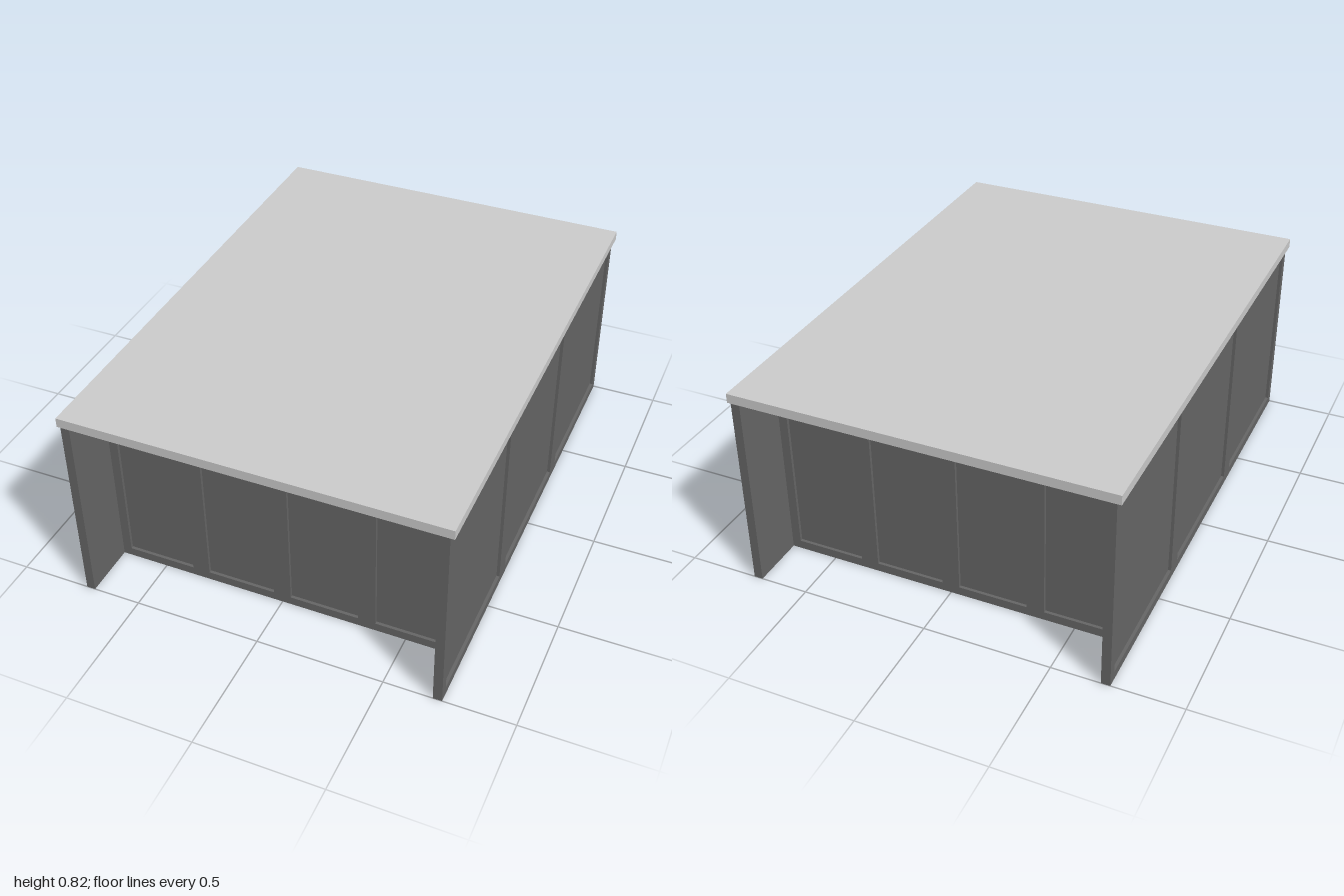
import * as THREE from 'three';

const darkMat = new THREE.MeshStandardMaterial({ color: 0x666666 });
const topMat = new THREE.MeshStandardMaterial({ color: 0xcccccc });

const HEIGHT = 0.78;   // underside of the worktop
const INNER = 0.69;    // half width between the side panels
const FLOOR = 0.1;     // height of the cabinet floors
const MARGIN = 0.035;  // frame width around each inset field
const RECESS = 0.012;

// box given by its limits on each axis
function box(parent, name, x0, x1, y0, y1, z0, z1, mat = darkMat) {
  const mesh = new THREE.Mesh(new THREE.BoxGeometry(x1 - x0, y1 - y0, z1 - z0), mat);
  mesh.position.set((x0 + x1) / 2, (y0 + y1) / 2, (z0 + z1) / 2);
  mesh.name = name;
  parent.add(mesh);
  return mesh;
}

function rect(path, x0, x1, y0, y1) {
  path.moveTo(x0, y0);
  path.lineTo(x1, y0);
  path.lineTo(x1, y1);
  path.lineTo(x0, y1);
  path.closePath();
  return path;
}

// framed wall facing +z with its front at z = 0, split into equal recessed fields
function framedWall(name, width, y0, y1, cells, thickness) {
  const wall = new THREE.Group();
  wall.name = name;
  const shape = rect(new THREE.Shape(), -width / 2, width / 2, y0, y1);
  const step = width / cells;
  for (let i = 0; i < cells; i++) {
    const x = -width / 2 + i * step;
    shape.holes.push(rect(new THREE.Path(), x + MARGIN, x + step - MARGIN, y0 + MARGIN, y1 - MARGIN));
  }
  const frame = new THREE.Mesh(
    new THREE.ExtrudeGeometry(shape, { depth: RECESS, bevelEnabled: false }), darkMat);
  frame.position.z = -RECESS;
  frame.name = 'frame';
  wall.add(frame);
  box(wall, 'insetFields', -width / 2, width / 2, y0, y1, -thickness, -RECESS);
  return wall;
}

// cabinet row opening towards dir, from its back wall to its doors
function cabinetRow(name, back, kick, doors, dir) {
  const row = new THREE.Group();
  row.name = name;
  const span = (part, a, b, y0, y1) =>
    box(row, part, -INNER, INNER, y0, y1, Math.min(a, b), Math.max(a, b));
  span('cabinetFloor', back, doors - dir * 0.02, FLOOR, FLOOR + 0.025);
  span('toeKick', kick, kick + dir * 0.02, 0, FLOOR);
  const front = framedWall('doors', 2 * INNER, FLOOR, HEIGHT, 4, 0.02);
  front.position.z = doors;
  if (dir < 0) front.rotation.y = Math.PI;
  row.add(front);
  return row;
}

export function createModel() {
  const model = new THREE.Group();
  model.name = 'counterIsland';

  // worktop in three slabs
  for (let i = 0; i < 3; i++) {
    const z = -1 + i * 2 / 3;
    box(model, 'worktopSlab', -0.74, 0.74, HEIGHT, 0.817, z, z + 2 / 3, topMat);
  }

  for (const s of [-1, 1]) {
    // full depth side panels
    const side = framedWall(s > 0 ? 'leftSidePanel' : 'rightSidePanel', 2, 0, HEIGHT, 3, 0.035);
    side.rotation.y = s * Math.PI / 2;
    side.position.x = s * 0.725;
    model.add(side);

    // end walls set back under the worktop overhang
    const end = framedWall(s > 0 ? 'frontWall' : 'backWall', 2 * INNER, 0, HEIGHT, 4, 0.03);
    if (s < 0) end.rotation.y = Math.PI;
    end.position.z = s * 0.78;
    model.add(end);
  }

  // cabinet rows inside, open to the ground below their floors
  model.add(cabinetRow('rearCabinets', -0.75, -0.39, -0.33, 1));
  model.add(cabinetRow('middleCabinets', -0.22, 0.09, 0.16, 1));
  model.add(cabinetRow('frontCabinets', 0.75, 0.38, 0.32, -1));
  box(model, 'middleBackWall', -INNER, INNER, 0, HEIGHT, -0.24, -0.22);

  return model;
}
